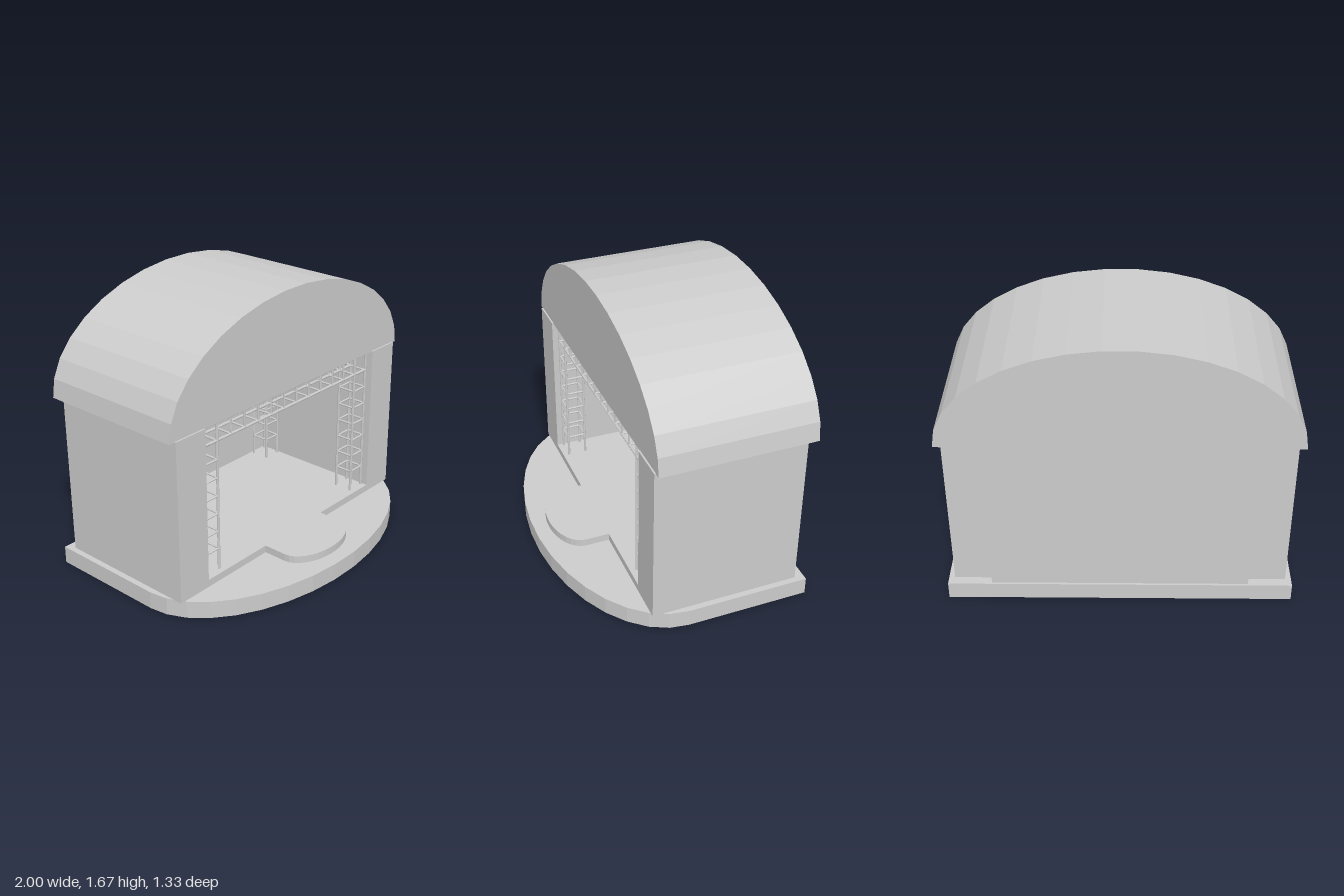
import * as THREE from 'three';
import { mergeGeometries } from 'three/addons/utils/BufferGeometryUtils.js';

const material = new THREE.MeshStandardMaterial({ color: 0xcccccc, flatShading: true });

function add(group, name, geometry) {
  const mesh = new THREE.Mesh(geometry, material);
  mesh.name = name;
  group.add(mesh);
}

// Box given by its minimum and maximum corners.
function block(x0, x1, y0, y1, z0, z1) {
  return new THREE.BoxGeometry(x1 - x0, y1 - y0, z1 - z0)
    .translate((x0 + x1) / 2, (y0 + y1) / 2, (z0 + z1) / 2);
}

// Outline with a straight foot and a half-ellipse on top, 17 facets.
function archShape(halfWidth, foot, spring, rise) {
  const points = [];
  if (foot < spring) points.push(new THREE.Vector2(-halfWidth, foot), new THREE.Vector2(halfWidth, foot));
  for (let i = 0; i <= 17; i++) {
    const a = (i / 17) * Math.PI;
    points.push(new THREE.Vector2(halfWidth * Math.cos(a), spring + rise * Math.sin(a)));
  }
  return new THREE.Shape(points);
}

function extrude(shape, depth) {
  return new THREE.ExtrudeGeometry(shape, { depth, bevelEnabled: false });
}

// Arch outline laid flat, with its curved end facing the front.
function slab(shape, y0, y1) {
  return extrude(shape, y1 - y0).rotateX(Math.PI / 2).translate(0, y1, 0);
}

// Round bar between two points.
function bar(a, b, radius) {
  const from = new THREE.Vector3(...a), dir = new THREE.Vector3(...b).sub(from);
  const q = new THREE.Quaternion().setFromUnitVectors(new THREE.Vector3(0, 1, 0), dir.clone().normalize());
  const mid = from.clone().addScaledVector(dir, 0.5);
  return new THREE.CylinderGeometry(radius, radius, dir.length(), 8).applyQuaternion(q).translate(mid.x, mid.y, mid.z);
}

// Square lattice along one axis: four chords and a ring of rungs at each stop.
// u and v are the [low, high] positions on the two other axes.
function lattice(axis, start, end, u, v, stops) {
  const at = (t, a, b) => {
    const p = [a, b];
    p.splice(axis, 0, t);
    return p;
  };
  const corners = [[u[0], v[0]], [u[1], v[0]], [u[1], v[1]], [u[0], v[1]]];
  const parts = corners.map((c) => bar(at(start, ...c), at(end, ...c), 0.008));
  for (const t of stops) {
    corners.forEach((c, i) => parts.push(bar(at(t, ...c), at(t, ...corners[(i + 1) % 4]), 0.006)));
  }
  return mergeGeometries(parts);
}

const steps = (from, to, n) => Array.from({ length: n + 1 }, (_, i) => from + ((to - from) * i) / n);

export function createModel() {
  const model = new THREE.Group();
  model.name = 'stage';

  // Platform, raised stage floor and rounded front tongue
  add(model, 'platform', slab(archShape(1, -0.665, 0.067, 0.6), 0, 0.105));
  add(model, 'stageFloor', block(-0.745, 0.745, 0.105, 0.15, -0.61, 0.275));
  add(model, 'stageTongue', slab(archShape(0.26, 0.275, 0.42, 0.155), 0.105, 0.15));

  // Wings on both sides and the back wall
  add(model, 'rightWing', block(-0.965, -0.745, 0.105, 1.08, -0.61, 0.275));
  add(model, 'leftWing', block(0.745, 0.965, 0.105, 1.08, -0.61, 0.275));
  add(model, 'backWall', block(-0.745, 0.745, 0.105, 1.08, -0.652, -0.61));

  // Vaulted roof
  add(model, 'roof', extrude(archShape(1, 1.075, 1.075, 0.6), 0.92).translate(0, 0, -0.655));

  // Lighting rig: four towers joined by beams under the roof
  const rig = new THREE.Group();
  rig.name = 'lightingRig';
  model.add(rig);
  const xs = { right: [-0.73, -0.618], left: [0.618, 0.73] };
  const zs = { front: [0.123, 0.235], back: [-0.59, -0.478] };
  const ys = [0.955, 1.063];
  for (const [side, x] of Object.entries(xs)) {
    for (const [end, z] of Object.entries(zs)) {
      add(rig, `${end} ${side} tower`, lattice(1, 0.15, 1.07, x, z, steps(0.283, 1.063, 7)));
    }
    add(rig, `${side} beam`, lattice(2, -0.478, 0.123, x, ys, steps(-0.478, 0.123, 5).slice(1, -1)));
  }
  for (const [end, z] of Object.entries(zs)) {
    add(rig, `${end} beam`, lattice(0, -0.738, 0.738, ys, z, steps(-0.618, 0.618, 11)));
  }
  return model;
}
